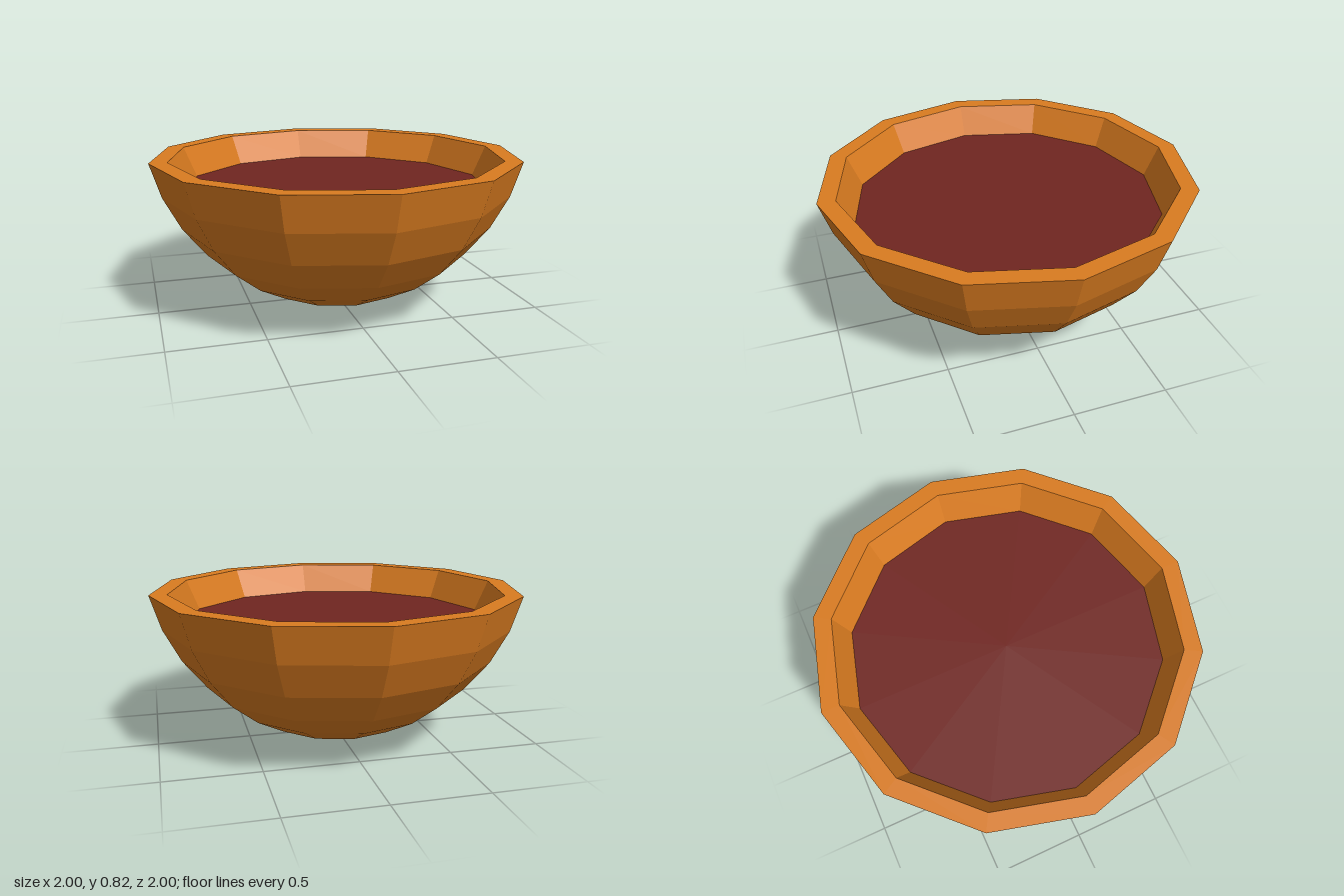
import * as THREE from 'three';

const SIDES = 12;

function lathe(name, profile, color) {
  const points = profile.map(([r, y]) => new THREE.Vector2(r, y));
  const material = new THREE.MeshStandardMaterial({ color, flatShading: true });
  const mesh = new THREE.Mesh(new THREE.LatheGeometry(points, SIDES), material);
  mesh.name = name;
  return mesh;
}

export function createModel() {
  const group = new THREE.Group();
  group.name = 'bowlOfSoup';

  // Bowl: outer wall from the base up, flat rim, then inner wall down to the soup
  group.add(lathe('bowl', [
    [0, 0], [0.2, 0.024], [0.39, 0.083], [0.565, 0.178], [0.72, 0.3],
    [0.848, 0.457], [0.942, 0.635], [1, 0.822],
    [0.905, 0.822], [0.83, 0.657],
  ], 0xd97b20));

  // Soup: flat surface filling the bowl
  group.add(lathe('soup', [[0.83, 0.657], [0, 0.657]], 0x702520));

  return group;
}
